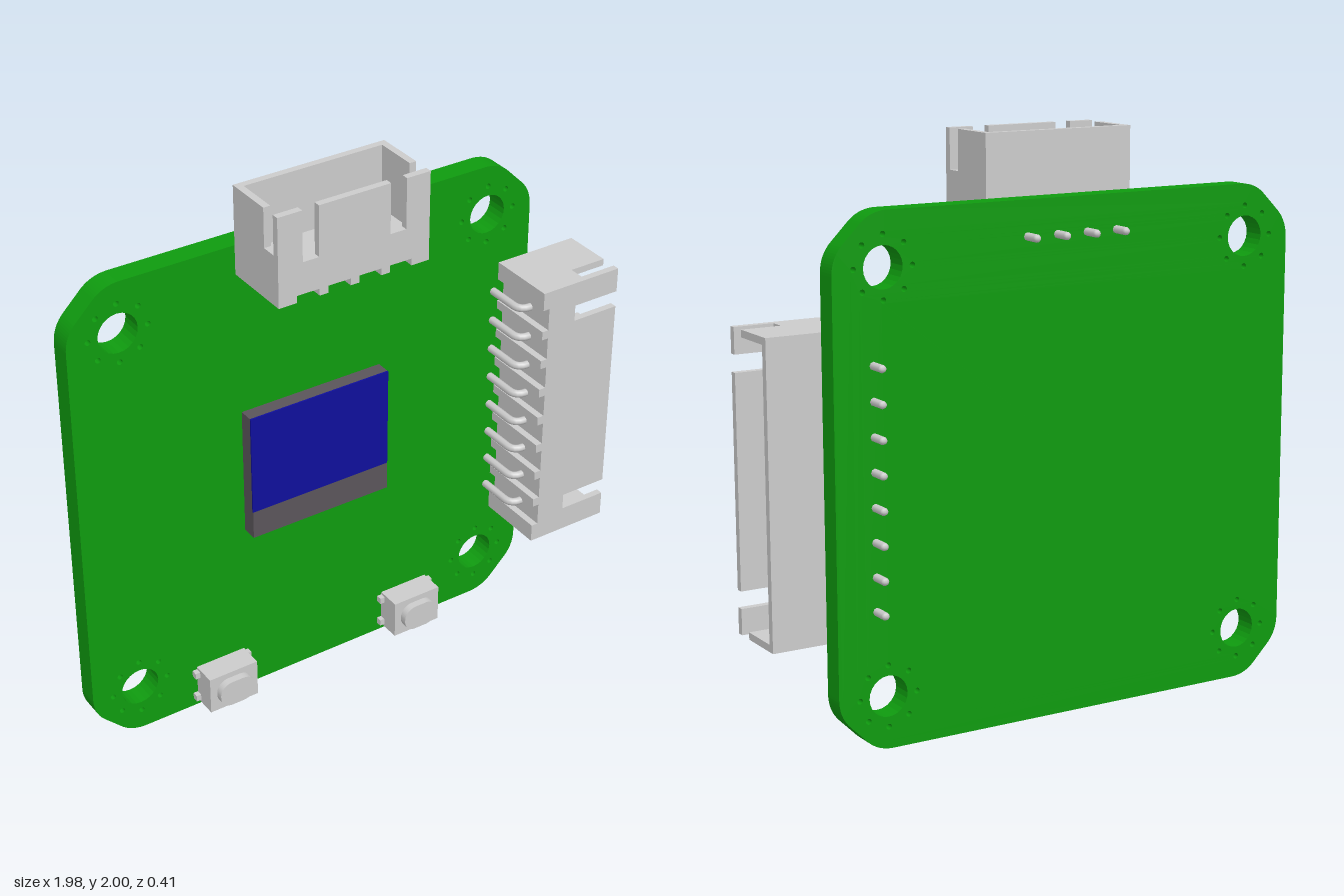
import * as THREE from 'three';

const mat = (color) => new THREE.MeshStandardMaterial({ color });
const GREY = mat(0xcccccc), GREEN = mat(0x0f9b0f), BLUE = mat(0x0f0f9b), DARK = mat(0x5a555a);
const BACK = -0.137, FACE = -0.057; // board faces in z

function add(parent, name, geometry, material = GREY, x = 0, y = 0, z = 0) {
  const m = new THREE.Mesh(geometry, material);
  m.name = name;
  m.position.set(x, y, z);
  parent.add(m);
  return m;
}

// box given by its limits
function block(parent, name, [x0, x1], [y0, y1], [z0, z1], material = GREY) {
  return add(parent, name, new THREE.BoxGeometry(x1 - x0, y1 - y0, z1 - z0), material,
    (x0 + x1) / 2, (y0 + y1) / 2, (z0 + z1) / 2);
}

const extrude = (shape, depth, curveSegments = 12) =>
  new THREE.ExtrudeGeometry(shape, { depth, bevelEnabled: false, curveSegments });

function circle(x, y, r) {
  return new THREE.Path().absarc(x, y, r, 0, Math.PI * 2, true);
}

// circuit board with softened chamfer corners and ringed mounting holes
function board(parent) {
  const h = 0.893, cx = -0.098, cy = 0.893;
  const s = new THREE.Shape();
  const turn = (a, u, v) => [
    cx + Math.round(Math.cos(a)) * u - Math.round(Math.sin(a)) * v,
    cy + Math.round(Math.sin(a)) * u + Math.round(Math.cos(a)) * v];
  for (let i = 0; i < 4; i++) {
    const a = i * Math.PI / 2, p = (u, v) => turn(a, h - u, h - v);
    if (i) s.lineTo(...p(0, 0.2)); else s.moveTo(...p(0, 0.2));
    s.quadraticCurveTo(...p(0, 0.14), ...p(0.04, 0.1));
    s.lineTo(...p(0.1, 0.04));
    s.quadraticCurveTo(...p(0.14, 0), ...p(0.2, 0));
  }
  s.closePath();
  for (const sx of [-1, 1]) for (const sy of [-1, 1]) {
    const x = cx + sx * 0.711, y = cy + sy * 0.711;
    s.holes.push(circle(x, y, 0.071));
    for (let k = 0; k < 8; k++) {
      const a = k * Math.PI / 4;
      s.holes.push(circle(x + 0.106 * Math.cos(a), y + 0.106 * Math.sin(a), 0.01));
    }
  }
  add(parent, 'circuitBoard', extrude(s, FACE - BACK), GREEN, 0, 0, BACK);
}

// pin header shell, opening along +y, base at y = 0
function connector(name, pins) {
  const g = new THREE.Group();
  g.name = name;
  const pitch = 0.1163, w = pitch * (pins - 1) + 0.218, e = w / 2;
  const H = 0.318, FLOOR = 0.09, T = 0.025, Z0 = -0.055, Z1 = 0.18, Z2 = 0.205;
  const pinX = Array.from({ length: pins }, (_, i) => (i - (pins - 1) / 2) * pitch);

  // outline with notches over the pins at the bottom, optional slots at the top
  const outline = (top, slots) => {
    const s = new THREE.Shape();
    s.moveTo(-e, 0);
    for (const x of pinX) {
      s.lineTo(x - 0.042, 0);
      s.lineTo(x - 0.042, 0.025);
      s.lineTo(x + 0.042, 0.025);
      s.lineTo(x + 0.042, 0);
    }
    s.lineTo(e, 0);
    s.lineTo(e, top);
    if (slots) for (const [a, b] of [[e - 0.09, e - 0.15], [-e + 0.15, -e + 0.09]]) {
      s.lineTo(a, top);
      s.lineTo(a, top - 0.18);
      s.lineTo(b, top - 0.18);
      s.lineTo(b, top);
    }
    s.lineTo(-e, top);
    s.closePath();
    return s;
  };
  add(g, 'floor', extrude(outline(FLOOR, false), Z1 - Z0), GREY, 0, 0, Z0);
  add(g, 'slottedWall', extrude(outline(H, true), Z2 - Z1), GREY, 0, 0, Z1);
  block(g, 'backWall', [-e, e], [FLOOR, H], [Z0, Z0 + T]);
  for (const s of [-1, 1]) {
    const xs = s < 0 ? [-e, -e + T] : [e - T, e];
    block(g, 'sideWall', xs, [FLOOR, H], [Z0 + T, 0.125]);
    block(g, 'sideWallLow', xs, [FLOOR, H - 0.14], [0.125, Z1]);
  }

  // bent pins: square contact, rounded tail through the board
  const path = new THREE.CurvePath();
  const v = (y, z) => new THREE.Vector3(0, y, z);
  path.add(new THREE.LineCurve3(v(0.06, 0.1), v(0.02, 0.1)));
  path.add(new THREE.QuadraticBezierCurve3(v(0.02, 0.1), v(-0.018, 0.1), v(-0.018, 0.06)));
  path.add(new THREE.LineCurve3(v(-0.018, 0.06), v(-0.018, -0.195)));
  const tail = new THREE.TubeGeometry(path, 32, 0.014, 8);
  const tip = new THREE.SphereGeometry(0.014, 8, 6);
  for (const x of pinX) {
    block(g, 'pinContact', [x - 0.014, x + 0.014], [0.05, 0.25], [0.086, 0.114]);
    add(g, 'pinTail', tail, GREY, x);
    add(g, 'pinTip', tip, GREY, x, -0.018, -0.195);
  }
  return g;
}

// push button with four solder tabs and a rounded plunger
function button(x, y) {
  const g = new THREE.Group();
  g.name = 'pushButton';
  block(g, 'buttonBody', [-0.096, 0.096], [-0.072, 0.072], [FACE, 0.033]);
  for (const s of [-1, 1]) {
    block(g, 'solderTabs', [-0.114, 0.114], [s * 0.05 - 0.012, s * 0.05 + 0.012], [FACE, -0.035]);
  }
  const a = 0.069, b = 0.05, r = 0.046;
  const s = new THREE.Shape();
  s.absarc(a - r, b - r, r, 0, Math.PI / 2);
  s.absarc(r - a, b - r, r, Math.PI / 2, Math.PI);
  s.absarc(r - a, r - b, r, Math.PI, Math.PI * 1.5);
  s.absarc(a - r, r - b, r, Math.PI * 1.5, Math.PI * 2);
  add(g, 'plunger', extrude(s, 0.03, 8), GREY, 0, 0, 0.03);
  g.position.set(x, y, 0);
  return g;
}

export function createModel() {
  const model = new THREE.Group();
  model.name = 'controllerBoard';
  board(model);

  // small display
  block(model, 'displayBase', [-0.372, 0.175], [0.675, 0.78], [FACE, 0]);
  model.children.at(-1).material = DARK;
  block(model, 'displayBack', [-0.372, 0.175], [0.78, 1.155], [FACE, -0.006], DARK);
  block(model, 'displayGlass', [-0.372, 0.175], [0.78, 1.155], [-0.006, 0], BLUE);

  // connectors on the top edge and the left edge
  const top = connector('topConnector', 4);
  top.position.set(-0.098, 1.682, 0);
  const side = connector('sideConnector', 8);
  side.rotation.z = -Math.PI / 2;
  side.position.set(0.67, 0.884, 0);
  model.add(top, side);

  for (const x of [-0.488, 0.291]) model.add(button(x, 0.094));
  return model;
}
